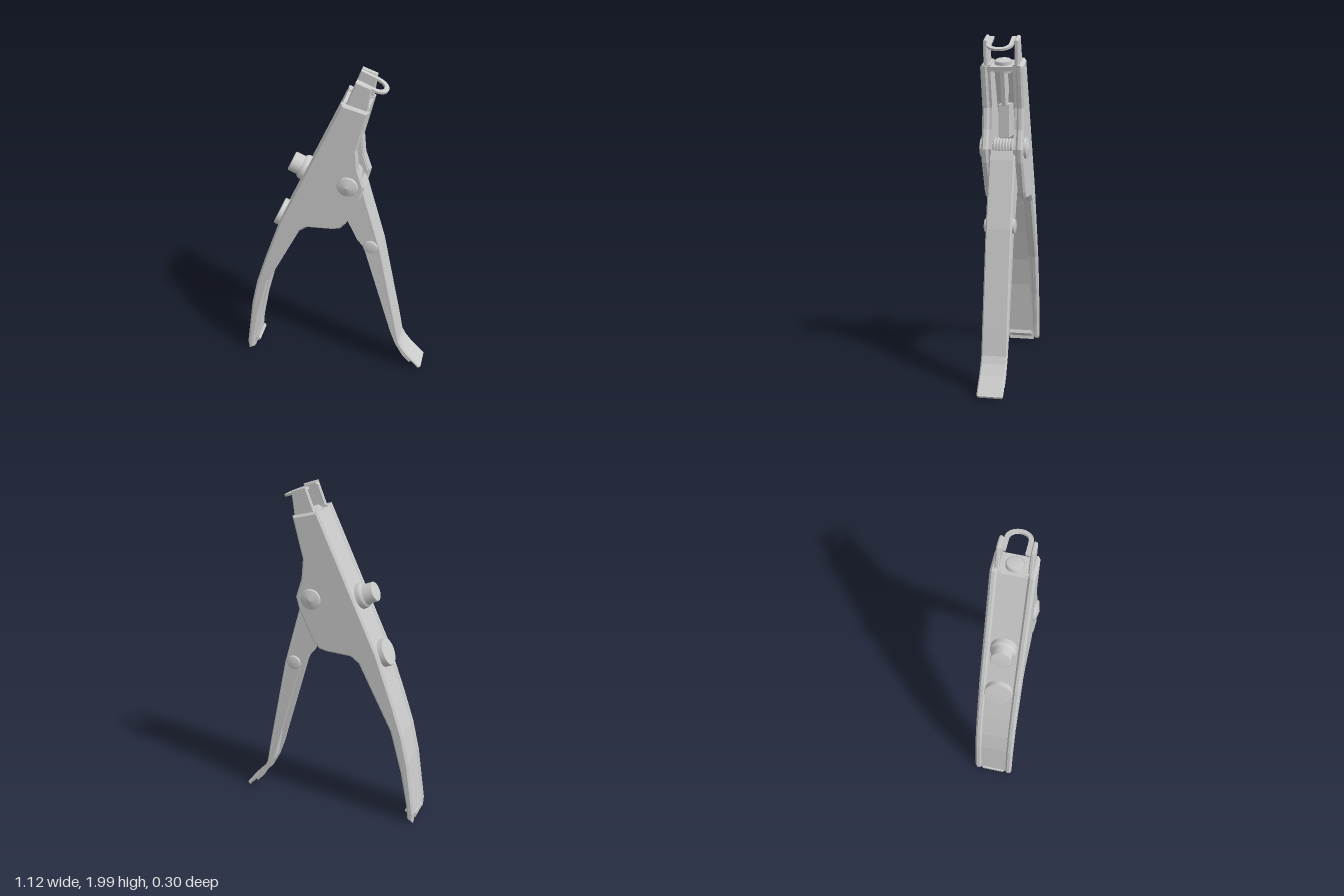
import * as THREE from 'three';

const material = new THREE.MeshStandardMaterial({ color: 0xcccccc, side: THREE.DoubleSide });

function add(parent, name, geometry) {
  const mesh = new THREE.Mesh(geometry, material);
  mesh.name = name;
  parent.add(mesh);
  return mesh;
}

const toShape = (points) => new THREE.Shape(points.map(([x, y]) => new THREE.Vector2(x, y)));

// Side profile extruded between z0 and z1, with chamfered edges
function slab(points, z0, z1, bevel = 0) {
  const geometry = new THREE.ExtrudeGeometry(toShape(points), {
    depth: z1 - z0 - 2 * bevel, bevelEnabled: bevel > 0, bevelThickness: bevel,
    bevelSize: bevel, bevelOffset: -bevel, bevelSegments: 1, curveSegments: 10,
  });
  return geometry.translate(0, 0, z0 + bevel);
}

// Moves a polyline sideways (positive = to the left of its direction)
function offset(points, distance) {
  return points.map(([x, y], i) => {
    const a = points[Math.max(i - 1, 0)], b = points[Math.min(i + 1, points.length - 1)];
    const dx = b[0] - a[0], dy = b[1] - a[1], length = Math.hypot(dx, dy);
    return [x - (dy / length) * distance, y + (dx / length) * distance];
  });
}

// Bent sheet that follows a polyline, centred on z = 0
function sheet(points, thickness, halfWidth, bevel = 0) {
  return slab([...points, ...offset(points, thickness).reverse()], -halfWidth, halfWidth, bevel);
}

// Turned part whose axis points along a direction
function turned(profile, position, direction, segments = 32) {
  const geometry = new THREE.LatheGeometry(profile.map(([r, h]) => new THREE.Vector2(r, h)), segments);
  const turn = new THREE.Quaternion().setFromUnitVectors(
    new THREE.Vector3(0, 1, 0), new THREE.Vector3(...direction).normalize());
  return geometry.applyQuaternion(turn).translate(...position);
}

const BACK = [[-0.555, 0.01], [-0.56, 0.07], [-0.515, 0.4], [-0.475, 0.58], [-0.415, 0.77],
  [-0.31, 1.07], [0.05, 1.87]];
const HEAD_FRONT = [[0.2, 1.83], [0.14, 1.59], [0.15, 1.47], [0.185, 1.36], [0.165, 1.28], [0.08, 1.1]];
const GRIP_FRONT = [[0.045, 1.058], [0, 1.047], [-0.15, 1.038], [-0.2, 1.0], [-0.28, 0.84],
  [-0.4, 0.6], [-0.47, 0.335], [-0.51, 0.125], [-0.52, 0.03]];
const PIVOT = [0.09, 1.36];

function buildBody() {
  const body = new THREE.Group();
  body.name = 'body';
  const front = [...HEAD_FRONT, ...GRIP_FRONT];
  const outline = [...BACK, ...front];
  const liner = [...offset(BACK, -0.012), ...offset(front, -0.016)];

  for (const side of [1, -1]) {
    const span = (a, b) => (side > 0 ? [a, b] : [-b, -a]);
    add(body, 'sidePlate', slab(outline, ...span(0.079, 0.12), 0.012));
    add(body, 'innerLiner', slab(liner, ...span(0.064, 0.082)));
    // Domed head of the main pivot
    add(body, 'pivotCap', turned([[0.06, 0.1], [0.06, 0.13], [0.055, 0.135], [0, 0.148]],
      [...PIVOT, 0], [0, 0, side]));
  }

  // Back wall, folded over the top of the head
  const spine = [...offset(BACK, -0.008).slice(0, -1), [0.052, 1.858], [0.19, 1.822]];
  add(body, 'spine', sheet(spine, -0.025, 0.08));
  // Lip closing the bottom of the grip
  add(body, 'gripEnd', slab([[-0.56, 0.03], [-0.52, 0.035], [-0.49, 0.06], [-0.5, 0.08],
    [-0.535, 0.06], [-0.56, 0.06]], -0.07, 0.07));
  // Central rib in the head, wider in its lower half
  add(body, 'rib', slab([[0.05, 1.83], [0.17, 1.815], [0.115, 1.6], [0.03, 1.6], [0, 1.73]], -0.012, 0.012));
  add(body, 'ribBase', slab([[0.115, 1.61], [0.105, 1.42], [-0.1, 1.42], [-0.04, 1.61]], -0.03, 0.03));
  // Peg on the top of the head
  add(body, 'topPeg', turned([[0.05, -0.05], [0.05, 0.012], [0.042, 0.02], [0, 0.02]],
    [0.12, 1.843, 0], [0.26, 0.966, 0]));
  return body;
}

function buildLever() {
  const lever = new THREE.Group();
  lever.name = 'lever';
  const front = [[0.155, 1.35], [0.175, 1.3], [0.28, 0.92], [0.39, 0.36], [0.415, 0.22],
    [0.435, 0.18], [0.475, 0.125], [0.56, 0.035]];
  add(lever, 'leverFace', sheet(front, -0.022, 0.075, 0.008));
  // Side flanges that fade out towards the flared tail
  const flange = [[0.06, 1.36], [0.15, 1.345], ...front.slice(1, 7).map(([x, y]) => [x - 0.01, y]),
    [0.5, 0.08], [0.485, 0.066], [0.44, 0.115], [0.393, 0.2], [0.357, 0.3], [0.18, 0.92], [0.14, 0.97], [0.075, 1.11]];
  for (const side of [1, -1]) {
    add(lever, 'leverFlange', slab(flange, side > 0 ? 0.058 : -0.074, side > 0 ? 0.074 : -0.058));
    add(lever, 'linkPin', turned([[0.043, 0.05], [0.043, 0.08], [0.036, 0.089], [0, 0.089]],
      [0.22, 0.93, 0], [0, 0, side], 24));
  }
  add(lever, 'pinShaft', turned([[0.022, -0.07], [0.022, 0.07]], [0.22, 0.93, 0], [0, 0, 1], 16));
  // Coiled spring around the pivot shaft
  add(lever, 'pivotShaft', turned([[0.035, -0.1], [0.035, 0.1]], [...PIVOT, 0], [0, 0, 1], 20));
  for (let i = -3; i <= 3; i++) {
    add(lever, 'springCoil', new THREE.TorusGeometry(0.047, 0.009, 8, 24).translate(...PIVOT, i * 0.017));
  }
  return lever;
}

function buildTip() {
  const tip = new THREE.Group();
  tip.name = 'tip';
  const cheek = [[0.065, 1.84], [0.125, 1.998], [0.21, 1.968], [0.19, 1.81]];
  for (const side of [1, -1]) {
    add(tip, 'cheek', slab(cheek, side > 0 ? 0.076 : -0.1, side > 0 ? 0.1 : -0.076, 0.006));
  }
  // Flat loop reaching forward from between the cheeks
  const loop = new THREE.Shape();
  loop.moveTo(0, -0.08);
  loop.lineTo(0.1, -0.075);
  loop.absarc(0.1, 0, 0.075, -Math.PI / 2, Math.PI / 2, false);
  loop.lineTo(0, 0.08);
  loop.lineTo(0, 0.05);
  loop.lineTo(0.1, 0.05);
  loop.absarc(0.1, 0, 0.05, Math.PI / 2, -Math.PI / 2, true);
  loop.lineTo(0, -0.05);
  const ring = new THREE.ExtrudeGeometry(loop, { depth: 0.013, bevelEnabled: false, curveSegments: 20 });
  add(tip, 'loop', ring.rotateX(-Math.PI / 2).rotateZ(-0.39).translate(0.12, 1.978, 0));
  return tip;
}

function buildKnobs() {
  const knobs = new THREE.Group();
  knobs.name = 'knobs';
  const outward = [-0.912, 0.41, 0];
  // Stepped push button
  add(knobs, 'pushButton', turned([[0.075, -0.04], [0.075, 0.035], [0.068, 0.05], [0.058, 0.055],
    [0.058, 0.11], [0.053, 0.115], [0, 0.115]], [-0.155, 1.365, 0], outward));
  // Flat adjusting disc
  add(knobs, 'adjustingDisc', turned([[0.082, -0.03], [0.082, 0.036], [0.078, 0.04], [0, 0.04]],
    [-0.308, 1.04, 0], outward));
  return knobs;
}

export function createModel() {
  const model = new THREE.Group();
  model.name = 'handTool';
  model.add(buildBody(), buildLever(), buildTip(), buildKnobs());
  return model;
}
